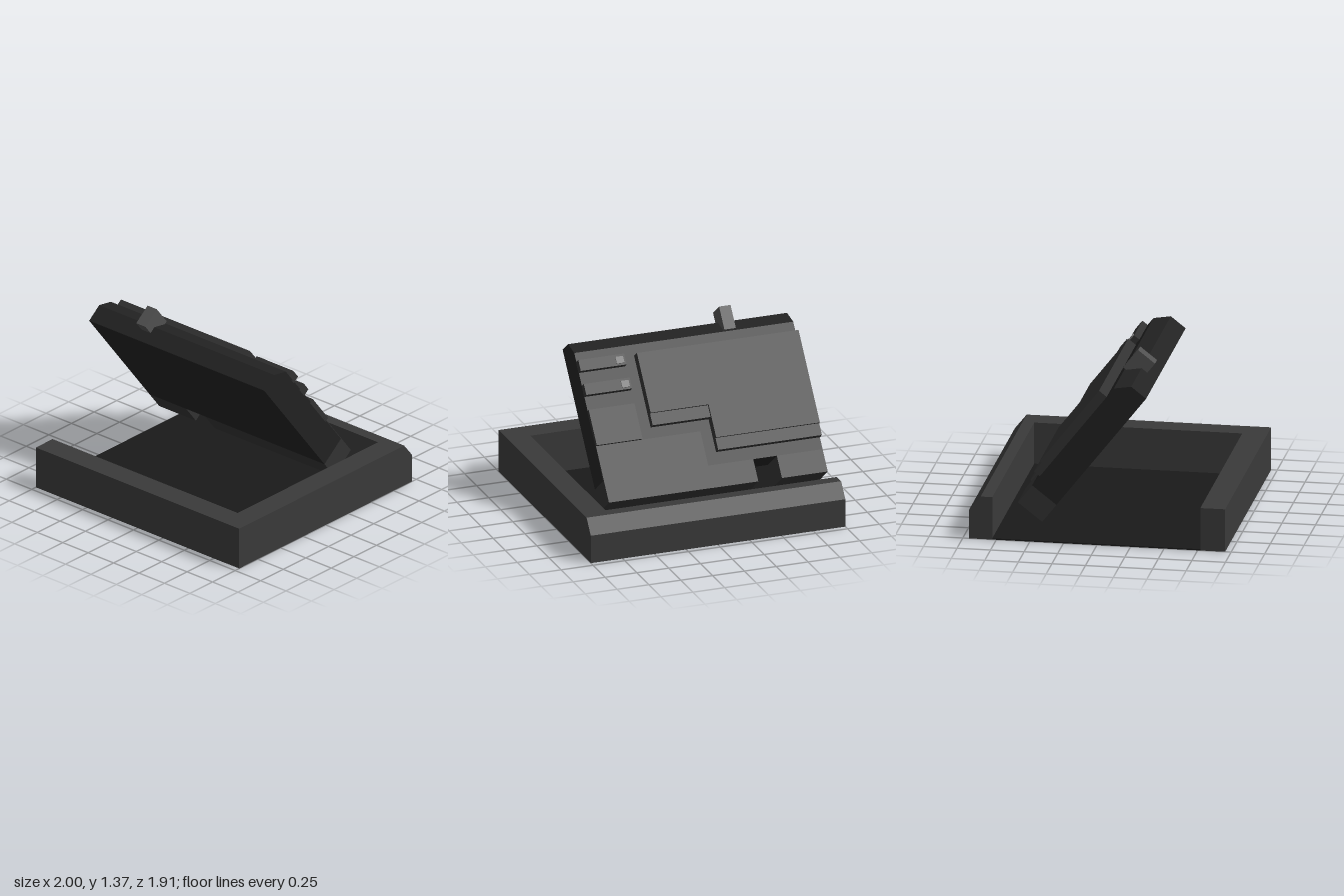
import * as THREE from 'three';

const mat = (color) => new THREE.MeshStandardMaterial({ color, flatShading: true });
const MAT = {
  tray: mat(0x3a3a3a), floor: mat(0x1a1a1a), body: mat(0x222222),
  panel: mat(0x323232), knob: mat(0x505050), light: mat(0x777777),
};

function add(parent, name, geometry, material) {
  const mesh = new THREE.Mesh(geometry, material);
  mesh.name = name;
  parent.add(mesh);
  return mesh;
}

// Box given by its limits on each axis
function box(parent, name, material, [x0, x1], [y0, y1], [z0, z1]) {
  const g = new THREE.BoxGeometry(x1 - x0, y1 - y0, z1 - z0);
  g.translate((x0 + x1) / 2, (y0 + y1) / 2, (z0 + z1) / 2);
  return add(parent, name, g, material);
}

// Side profile of [z, y] points, swept from x0 to x1
function sweepX(parent, name, material, points, x0, x1) {
  const shape = new THREE.Shape(points.map(([z, y]) => new THREE.Vector2(z, y)));
  const g = new THREE.ExtrudeGeometry(shape, { depth: x1 - x0, bevelEnabled: false });
  g.rotateY(-Math.PI / 2).translate(x1, 0, 0);
  return add(parent, name, g, material);
}

// Slab on the tilted body: d = distance down its face, t = depth from its front
function slab(parent, name, material, xs, [d0, d1], [t0, t1]) {
  return box(parent, name, material, xs, [-d1, -d0], [-t1, -t0]);
}

function createTray() {
  const tray = new THREE.Group();
  tray.name = 'tray';
  const H = 0.327;
  sweepX(tray, 'backWall', MAT.tray,
    [[-0.78, 0], [-0.78, H], [-0.867, H], [-0.955, 0.217], [-0.955, 0]], -1, 1);
  box(tray, 'leftWall', MAT.tray, [0.82, 1], [0, H], [-0.78, 0.77]);
  box(tray, 'frontWall', MAT.tray, [-1, 1], [0, H], [0.77, 0.955]);
  box(tray, 'floor', MAT.floor, [-1, 0.82], [0, 0.01], [-0.78, 0.77]);
  return tray;
}

function createTiltedBody() {
  const body = new THREE.Group();
  body.name = 'tiltedBody';
  body.position.set(0, 1.148, 0.366);
  body.rotation.x = 0.663;

  // Main slab with a chamfered upper back edge
  sweepX(body, 'mainSlab', MAT.body,
    [[0, 0], [-0.141, 0], [-0.23, -0.096], [-0.23, -1.085], [0, -1.085]], -1, 0.72);

  // Lower edge with a notch, and the thin cover plate stepping up the back
  for (const xs of [[-1, -0.64], [-0.455, 0.72]])
    slab(body, 'lowerEdge', MAT.panel, xs, [1.085, 1.258], [0, 0.23]);
  slab(body, 'coverPlate', MAT.panel, [-0.1, 0.72], [0.82, 1.258], [0.2, 0.234]);

  // Raised back panel: two columns, each with a lower ledge
  for (const [x0, x1, d] of [[-1, -0.185, 0.9], [-0.185, 0.27, 0.645]]) {
    slab(body, 'backPanel', MAT.panel, [x0, x1], [0.182, d], [0.22, 0.303]);
    slab(body, 'panelLedge', MAT.panel, [x0, x1], [d, d + 0.092], [0.22, 0.285]);
  }

  // Two connector bars with small indicators, and a block below them
  for (const d of [0.166, 0.352]) {
    slab(body, 'connectorBar', MAT.panel, [0.36, 0.72], [d, d + 0.085], [0.22, 0.28]);
    slab(body, 'indicator', MAT.light, [0.375, 0.435], [d + 0.018, d + 0.07], [0.25, 0.288]);
  }
  slab(body, 'sideBlock', MAT.panel, [0.36, 0.72], [0.545, 0.82], [0.22, 0.257]);

  // Knob on the upper edge
  slab(body, 'knob', MAT.knob, [-0.547, -0.457], [-0.093, 0.086], [0.087, 0.246]);
  return body;
}

export function createModel() {
  const model = new THREE.Group();
  model.name = 'model';
  model.add(createTray(), createTiltedBody());
  return model;
}
